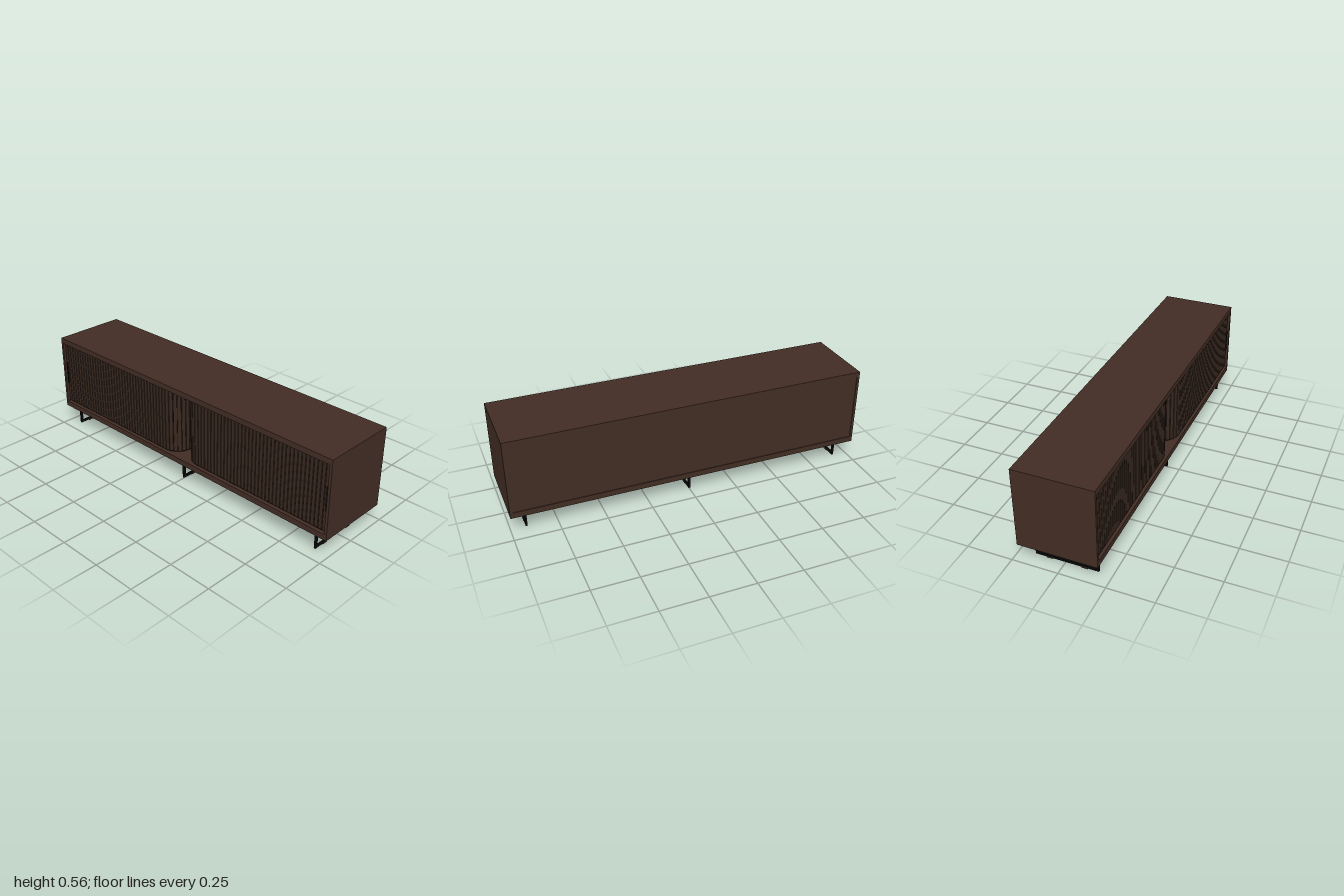
import * as THREE from 'three';
import { mergeGeometries } from 'three/addons/utils/BufferGeometryUtils.js';

const material = (name, color) => {
  const m = new THREE.MeshStandardMaterial({ color });
  m.name = name;
  return m;
};

export function createModel() {
  const wood = material('walnut', 0x422d24);
  const slatWood = material('slat walnut', 0x38281f);
  const shade = material('dark recess', 0x1c130f);
  const black = material('black metal', 0x0a0a0b);
  const group = new THREE.Group();
  group.name = 'sideboard';

  const add = (name, geometry, mat, parent = group) => {
    const mesh = new THREE.Mesh(geometry, mat);
    mesh.name = name;
    parent.add(mesh);
    return mesh;
  };
  // Box given by its minimum and maximum corners
  const box = (name, x0, x1, y0, y1, z0, z1, mat, parent) => {
    const g = new THREE.BoxGeometry(x1 - x0, y1 - y0, z1 - z0);
    g.translate((x0 + x1) / 2, (y0 + y1) / 2, (z0 + z1) / 2);
    return add(name, g, mat, parent);
  };

  // Cabinet carcass
  box('topPanel', -1, 1, 0.527, 0.558, -0.213, 0.213, wood);
  box('bottomPanel', -1, 1, 0.11, 0.142, -0.213, 0.213, wood);
  box('backPanel', -0.985, 0.985, 0.142, 0.527, -0.209, -0.2, wood);
  box('centreDivider', -0.009, 0.009, 0.142, 0.527, -0.2, 0.1, shade);
  for (const s of [-1, 1]) {
    const [a, b] = s < 0 ? [-1, -0.985] : [0.985, 1];
    box('sidePanel', a, b, 0.142, 0.527, -0.213, 0.213, wood);
  }

  // Tambour doors: straight along the front, then curving into the cabinet
  const xStart = -0.983, xCurve = -0.125, radius = 0.105, zFront = 0.2;
  const straight = xCurve - xStart;
  const arc = radius * Math.PI / 2;
  const total = straight + arc + 0.1;
  const pitch = 0.0235;
  const placeOnTrack = (s) => {
    if (s < straight) return { x: xStart + s, z: zFront, a: 0 };
    const a = Math.min((s - straight) / radius, Math.PI / 2);
    const inward = Math.max(0, s - straight - arc);
    return {
      x: xCurve + radius * Math.sin(a),
      z: zFront - radius + radius * Math.cos(a) - inward,
      a,
    };
  };
  const strip = (s, mirror, width, height, depth, back) => {
    const p = placeOnTrack(s);
    const g = new THREE.BoxGeometry(width, height, depth);
    g.translate(0, 0.3345, -back - depth / 2);
    g.rotateY(p.a * mirror);
    g.translate(p.x * mirror, 0, p.z);
    return g;
  };
  for (const mirror of [1, -1]) {
    const door = new THREE.Group();
    door.name = mirror > 0 ? 'rightDoor' : 'leftDoor';
    group.add(door);
    const slats = [], backing = [];
    for (let s = pitch / 2; s < total; s += pitch) {
      slats.push(strip(s, mirror, 0.0195, 0.369, 0.009, 0));
      backing.push(strip(s, mirror, pitch + 0.001, 0.383, 0.004, 0.007));
    }
    add('slats', mergeGeometries(slats), slatWood, door);
    add('backing', mergeGeometries(backing), shade, door);
    // Slim pull at the outer end
    box('handle', mirror * -0.976 - 0.004, mirror * -0.976 + 0.004, 0.265, 0.4, 0.198, 0.204, black, door);
  }

  // Metal loop legs with mounting plate and small floor pads
  const frame = new THREE.Shape();
  frame.moveTo(-0.161, 0.005).lineTo(0.18, 0.005).lineTo(0.18, 0.105).lineTo(-0.161, 0.105).closePath();
  const hole = new THREE.Path();
  hole.moveTo(-0.147, 0.018).lineTo(-0.147, 0.091).lineTo(0.165, 0.091).lineTo(0.165, 0.018).closePath();
  frame.holes.push(hole);
  const frameGeometry = new THREE.ExtrudeGeometry(frame, { depth: 0.01, bevelEnabled: false });
  frameGeometry.translate(0, 0, -0.005);
  frameGeometry.rotateY(-Math.PI / 2);
  for (const x of [-0.915, 0, 0.915]) {
    const leg = new THREE.Group();
    leg.name = 'leg';
    leg.position.x = x;
    group.add(leg);
    add('legFrame', frameGeometry, black, leg);
    box('mountingPlate', -0.005, 0.005, 0.104, 0.111, -0.102, 0.12, black, leg);
    for (const z of [0.104, -0.086]) {
      box('floorPad', -0.0055, 0.0055, 0, 0.008, z - 0.016, z + 0.016, wood, leg);
    }
  }
  return group;
}
